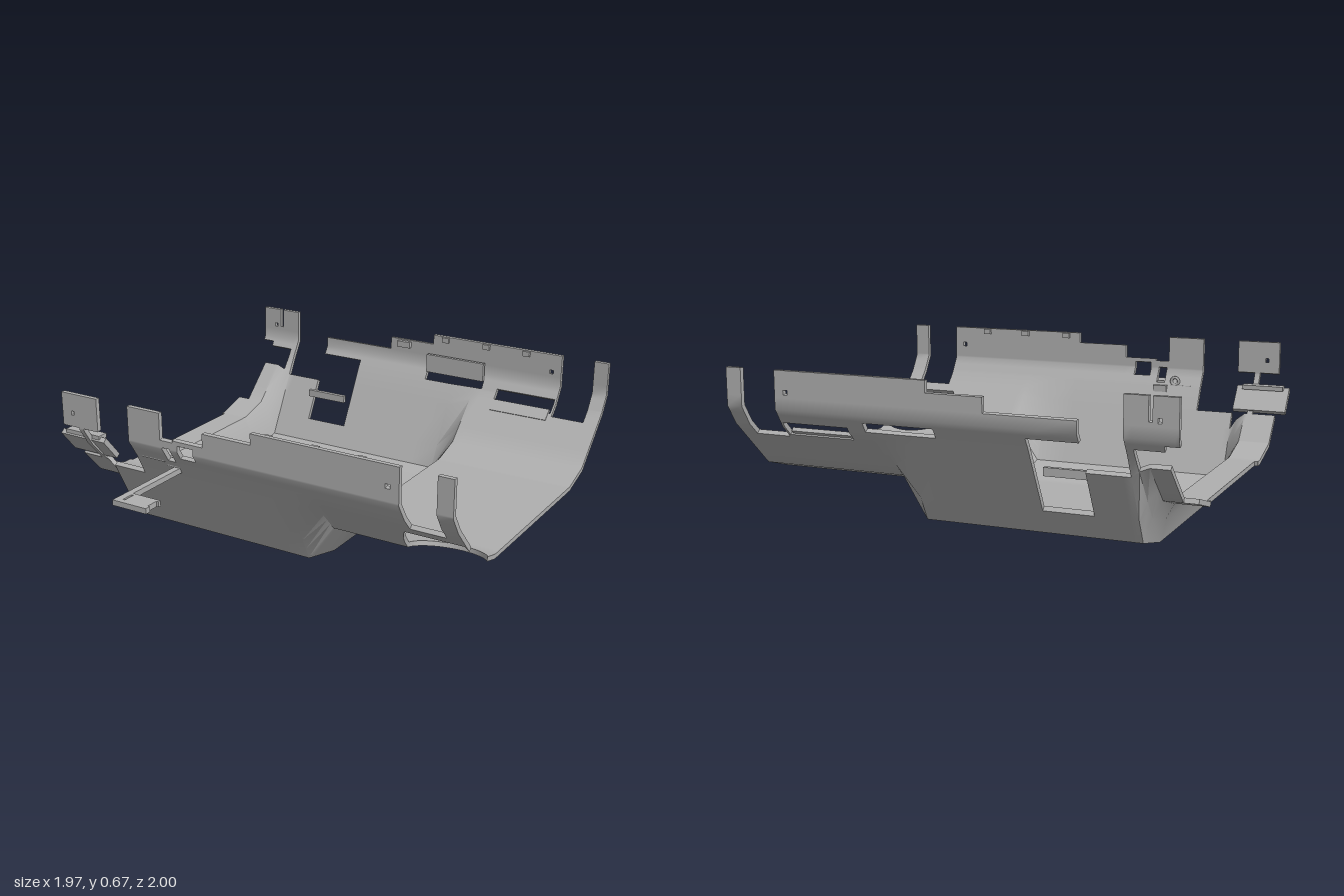
import * as THREE from 'three';
import { toCreasedNormals } from 'three/addons/utils/BufferGeometryUtils.js';

const X0 = -0.94, X1 = 0.98, THICK = 0.021;
// Profile knots [z, y] from the front rim, under the floor, to the back rim
const SHALLOW = [[0.65, 0.67], [0.65, 0.51], [0.6, 0.43], [0.41, 0.22], [0.24, 0.175],
  [-0.58, 0.175], [-0.73, 0.22], [-0.95, 0.43], [-1, 0.51], [-1, 0.67]];
const DEEP = [[0.65, 0.67], [0.65, 0.51], [0.6, 0.43], [0.41, 0.05], [0.2, 0],
  [-0.54, 0], [-0.75, 0.05], [-0.95, 0.43], [-1, 0.51], [-1, 0.67]];
const STATIONS = [-0.8, -0.7, 0.2, 0.32];

// Openings and trimmed edges: [x from, x to, profile from, profile to]
const CUTS = [
  // front rim, left end
  [-0.94, -0.925, 0, 2.45], [-0.925, -0.835, 0.95, 2.45], [-0.81, -0.73, 0.95, 2.45],
  [-0.73, -0.56, 0, 2.26], [-0.875, -0.86, 0.5, 0.62],
  // front rim, steps and window
  [-0.39, -0.325, 0, 0.75], [-0.38, -0.34, 0.95, 1.8], [-0.325, -0.17, 0, 0.69],
  [-0.3, -0.22, 0.81, 1.42], [-0.17, 0.07, 0, 0.31], [0.69, 0.71, 0.5, 0.62],
  // front rim, right end
  [0.75, 0.91, 0, 2.26],
  // left edge of floor
  [-0.94, -0.925, 4.05, 4.98],
  // back rim, left end
  [-0.94, -0.88, 6, 7.7], [-0.88, -0.76, 6.77, 7.4], [-0.73, -0.55, 6.77, 9],
  [-0.84, -0.825, 8.4, 9], [-0.875, -0.86, 8.38, 8.5],
  // back rim, window, steps and slots
  [-0.55, -0.335, 6.27, 7.5], [-0.55, -0.17, 8.3, 9], [-0.17, 0.07, 8.69, 9],
  [0.05, 0.36, 7.1, 7.6], [0.44, 0.74, 6.82, 7.25], [0.69, 0.71, 8.38, 8.5],
  // back rim, right end
  [0.75, 0.91, 6.77, 9],
];
const HOLE = { x: 0.84, z: 0.41, r: 0.17, from: 2.42, to: 4 };

const lerp = THREE.MathUtils.lerp;

// Profile at a given x, optionally offset inward by the sheet thickness
function profileAt(x, inner) {
  const t = x < -0.75
    ? THREE.MathUtils.clamp((x + 0.8) / 0.1, 0, 1)
    : THREE.MathUtils.clamp((0.32 - x) / 0.12, 0, 1);
  const p = SHALLOW.map((s, i) => new THREE.Vector2(lerp(s[0], DEEP[i][0], t), lerp(s[1], DEEP[i][1], t)));
  if (!inner) return p;
  const n = p.slice(1).map((b, i) => {
    const d = b.clone().sub(p[i]).normalize();
    return new THREE.Vector2(d.y, -d.x);
  });
  return p.map((q, i) => {
    const a = n[Math.max(0, i - 1)], b = n[Math.min(n.length - 1, i)];
    const m = a.clone().add(b).normalize();
    return q.clone().addScaledVector(m, THICK / m.dot(a));
  });
}

function point(x, v, inner) {
  const p = profileAt(x, inner), i = Math.min(8, Math.floor(v));
  const q = p[i].clone().lerp(p[i + 1], v - i);
  return new THREE.Vector3(x, q.y, q.x);
}

// Half width of the round opening at a profile position
function holeHalf(v) {
  const d = point(0.9, v, false).z - HOLE.z;
  return Math.sqrt(Math.max(0, HOLE.r ** 2 - d * d));
}

// Solid spans of one band: each is [left, right] at its start and at its end
function spansOf(v0, v1) {
  const mid = (v0 + v1) / 2;
  const cuts = CUTS.filter(c => mid > c[2] && mid < c[3]).map(c => [c[0], c[1], c[0], c[1]]);
  if (mid > HOLE.from && mid < HOLE.to) {
    const a = holeHalf(v0), b = holeHalf(v1), end = x => Math.min(X1, x);
    cuts.push([HOLE.x - a, end(HOLE.x + a), HOLE.x - b, end(HOLE.x + b)]);
  }
  cuts.sort((a, b) => a[0] - b[0]);
  const spans = [];
  let left = [X0, X0];
  for (const c of cuts) {
    spans.push([left[0], c[0], left[1], c[2]]);
    left = [c[1], c[3]];
  }
  spans.push([left[0], X1, left[1], X1]);
  return spans.filter(s => s[1] - s[0] > 1e-5 || s[3] - s[2] > 1e-5);
}

function shellGeometry() {
  const pos = [];
  const tri = (a, b, c) => {
    const area = b.clone().sub(a).cross(c.clone().sub(a)).length();
    if (area > 1e-9) pos.push(...a.toArray(), ...b.toArray(), ...c.toArray());
  };
  const quad = (a, b, c, d) => { tri(a, b, c); tri(a, c, d); };

  const vs = new Set([0, 1, 2, 3, 4, 5, 6, 7, 8, 9]);
  CUTS.forEach(c => { vs.add(c[2]); vs.add(c[3]); });
  for (let i = 0; i <= 20; i++) vs.add(lerp(HOLE.from, HOLE.to, 1 - (1 - i / 20) ** 2));
  const rows = [...vs].sort((a, b) => a - b);
  const xs = [...new Set([...STATIONS, ...CUTS.flatMap(c => [c[0], c[1]])])].sort((a, b) => a - b);
  const bands = rows.slice(1).map((v, i) => spansOf(rows[i], v));
  const covered = (j, x, k) => bands[j]?.some(s => x > s[k] && x < s[k + 1]);

  bands.forEach((spans, j) => {
    const v0 = rows[j], v1 = rows[j + 1];
    for (const [a0, b0, a1, b1] of spans) {
      const lo = Math.max(a0, a1), hi = Math.min(b0, b1);
      const inside = xs.filter(x => x > lo + 1e-5 && x < hi - 1e-5);
      const top = [a0, ...inside, b0], bottom = [a1, ...inside, b1];
      for (let i = 0; i + 1 < top.length; i++) {
        const corners = inner => [point(top[i], v0, inner), point(top[i + 1], v0, inner),
          point(bottom[i + 1], v1, inner), point(bottom[i], v1, inner)];
        const [A, B, C, D] = corners(false), [a, b, c, d] = corners(true);
        quad(a, b, c, d);
        quad(D, C, B, A);
        if (i === 0) quad(A, a, d, D);
        if (i + 2 === top.length) quad(B, C, c, b);
        if (!covered(j - 1, (top[i] + top[i + 1]) / 2, 2)) quad(A, B, b, a);
        if (!covered(j + 1, (bottom[i] + bottom[i + 1]) / 2, 0)) quad(D, d, c, C);
      }
    }
  });
  const g = new THREE.BufferGeometry();
  g.setAttribute('position', new THREE.Float32BufferAttribute(pos, 3));
  return toCreasedNormals(g, 0.6);
}

function rectPath(x0, z0, x1, z1) {
  return new THREE.Path([[x0, z0], [x1, z0], [x1, z1], [x0, z1]].map(p => new THREE.Vector2(...p)));
}

export function createModel() {
  const model = new THREE.Group();
  model.name = 'formedSheetTray';
  const grey = new THREE.MeshStandardMaterial({ color: 0xb0b0b0 });
  grey.name = 'sheet grey';

  const add = (name, geometry, x = 0, y = 0, z = 0, tilt = 0) => {
    const m = new THREE.Mesh(geometry, grey);
    m.name = name;
    m.position.set(x, y, z);
    m.rotation.x = tilt;
    model.add(m);
  };
  const box = (name, w, h, d, x, y, z, tilt) => add(name, new THREE.BoxGeometry(w, h, d), x, y, z, tilt);

  add('trayShell', shellGeometry());

  // Front arm with slotted foot
  const arm = new THREE.Shape([[-0.365, 0.57], [-0.335, 0.57], [-0.335, 0.905], [-0.195, 0.905],
    [-0.195, 0.92], [-0.205, 0.92], [-0.205, 0.975], [-0.195, 0.975], [-0.195, 1], [-0.365, 1]]
    .map(p => new THREE.Vector2(...p)));
  arm.holes.push(rectPath(-0.332, 0.92, -0.322, 0.975));
  const armGeometry = new THREE.ExtrudeGeometry(arm, { depth: 0.024, bevelEnabled: false });
  armGeometry.rotateX(Math.PI / 2);
  add('frontArm', armGeometry, 0, 0.413, 0);

  // Front left corner bracket
  box('cornerBracket', 0.245, 0.025, 0.13, -0.8625, 0.41, 0.555, -0.88);
  box('cornerBracketLip', 0.19, 0.02, 0.05, -0.865, 0.465, 0.575);

  // Small clips on the front wall
  add('cableClip', new THREE.TorusGeometry(0.018, 0.007, 8, 16), -0.433, 0.465, 0.592);
  box('clipBase', 0.12, 0.014, 0.02, -0.465, 0.44, 0.595);
  box('armRoot', 0.065, 0.03, 0.03, -0.365, 0.43, 0.58);

  // Bent plates beside the back slots
  box('upperSlotPlate', 0.31, 0.09, 0.018, 0.205, 0.53, -0.955);
  box('lowerSlotPlate', 0.29, 0.018, 0.06, 0.585, 0.395, -0.89, 0.76);
  box('windowLip', 0.21, 0.035, 0.02, -0.4425, 0.31, -0.8);

  // Nubs along the rims
  for (const x of [0.14, 0.36, 0.57]) box('frontRimNub', 0.035, 0.025, 0.02, x, 0.655, 0.625);
  for (const x of [0.14, 0.36, 0.57]) box('backRimNub', 0.035, 0.025, 0.02, x, 0.655, -0.975);
  box('backStepNub', 0.07, 0.03, 0.03, -0.09, 0.6, -0.975);
  return model;
}
